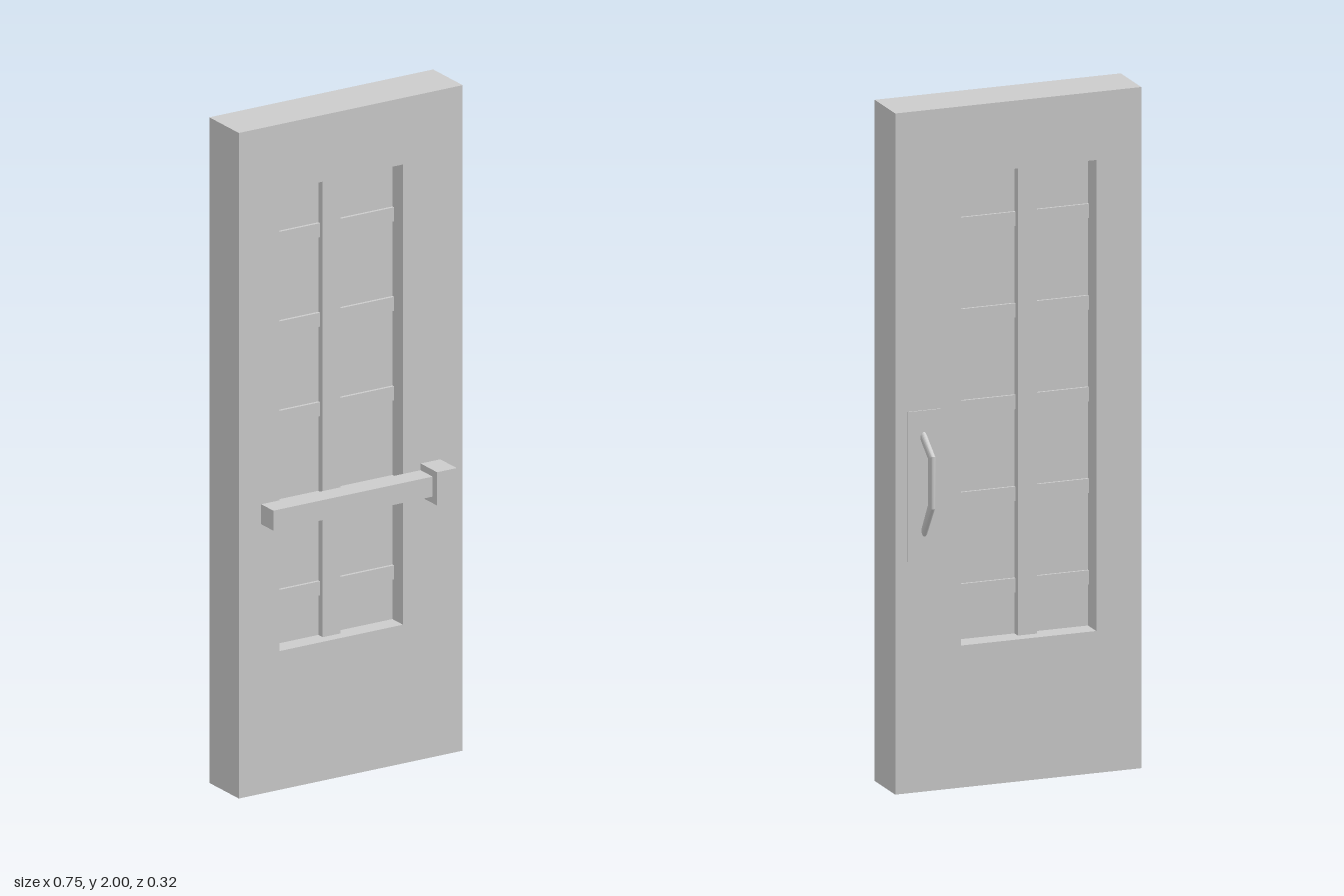
import * as THREE from 'three';
import { toCreasedNormals } from 'three/addons/utils/BufferGeometryUtils.js';

const material = new THREE.MeshStandardMaterial({ color: 0xcccccc });

function add(parent, name, geometry) {
  const mesh = new THREE.Mesh(geometry, material);
  mesh.name = name;
  parent.add(mesh);
  return mesh;
}

// Box given by its limits on each axis
function addBox(parent, name, [x0, x1], [y0, y1], [z0, z1]) {
  const mesh = add(parent, name, new THREE.BoxGeometry(x1 - x0, y1 - y0, z1 - z0));
  mesh.position.set((x0 + x1) / 2, (y0 + y1) / 2, (z0 + z1) / 2);
  return mesh;
}

function rectangle(PathType, x0, x1, y0, y1) {
  return new PathType([
    new THREE.Vector2(x0, y0), new THREE.Vector2(x1, y0),
    new THREE.Vector2(x1, y1), new THREE.Vector2(x0, y1),
  ]);
}

// Bent bar swept through elliptical rings, each given by its outer and inner [z, y]
function bentBar(rings, halfWidth, sides = 20) {
  const positions = [], indices = [];
  for (const [[zo, yo], [zi, yi]] of rings) {
    for (let j = 0; j < sides; j++) {
      const a = (j / sides) * Math.PI * 2, c = Math.cos(a) / 2;
      positions.push(Math.sin(a) * halfWidth, (yo + yi) / 2 + c * (yo - yi), (zo + zi) / 2 + c * (zo - zi));
    }
  }
  for (let k = 0; k < rings.length - 1; k++) {
    for (let j = 0; j < sides; j++) {
      const n = (j + 1) % sides;
      const a = k * sides + j, b = k * sides + n;
      indices.push(a, b, a + sides, b, b + sides, a + sides);
    }
  }
  // End caps
  const last = (rings.length - 1) * sides;
  for (let j = 1; j < sides - 1; j++) {
    indices.push(0, j + 1, j, last, last + j, last + j + 1);
  }
  const geometry = new THREE.BufferGeometry();
  geometry.setAttribute('position', new THREE.Float32BufferAttribute(positions, 3));
  geometry.setIndex(indices);
  return toCreasedNormals(geometry, 0.45);
}

export function createModel() {
  const model = new THREE.Group();
  model.name = 'door';
  const back = -0.083, front = 0.073;
  const left = -0.238, right = 0.175, bottom = 0.417, top = 1.8;

  // Door leaf with the window opening
  const leaf = rectangle(THREE.Shape, -0.375, 0.375, 0, 2);
  leaf.holes.push(rectangle(THREE.Path, left, right, bottom, top));
  const leafGeometry = new THREE.ExtrudeGeometry(leaf, { depth: front - back, bevelEnabled: false });
  leafGeometry.translate(0, 0, back);
  add(model, 'doorLeaf', leafGeometry);

  // Window pane with its glazing bars
  const windowGroup = new THREE.Group();
  windowGroup.name = 'window';
  model.add(windowGroup);
  addBox(windowGroup, 'pane', [left, right], [bottom, top], [-0.02, 0.017]);
  addBox(windowGroup, 'verticalBar', [-0.073, -0.014], [bottom, top], [-0.045, 0.04]);
  for (let i = 0; i < 5; i++) {
    const y = 0.56 + i * 0.269;
    addBox(windowGroup, 'horizontalBar', [left, right], [y - 0.021, y + 0.021], [-0.027, 0.026]);
  }

  // Push bar on the front
  const pushBar = new THREE.Group();
  pushBar.name = 'pushBar';
  model.add(pushBar);
  addBox(pushBar, 'bar', [-0.3, 0.235], [0.81, 0.87], [front, 0.137]);
  addBox(pushBar, 'latchBox', [0.234, 0.3], [0.79, 0.89], [front, 0.16]);

  // Pull handle and its plate on the back
  const pull = new THREE.Group();
  pull.name = 'pullHandle';
  model.add(pull);
  addBox(pull, 'handlePlate', [0.237, 0.338], [0.68, 1.12], [-0.087, back]);
  const grip = add(pull, 'handleGrip', bentBar([
    [[-0.083, 1.06], [-0.083, 1.028]],
    [[-0.161, 1.003], [-0.134, 0.99]],
    [[-0.161, 0.848], [-0.134, 0.86]],
    [[-0.095, 0.752], [-0.095, 0.79]],
  ], 0.01));
  grip.position.x = 0.29;

  return model;
}
